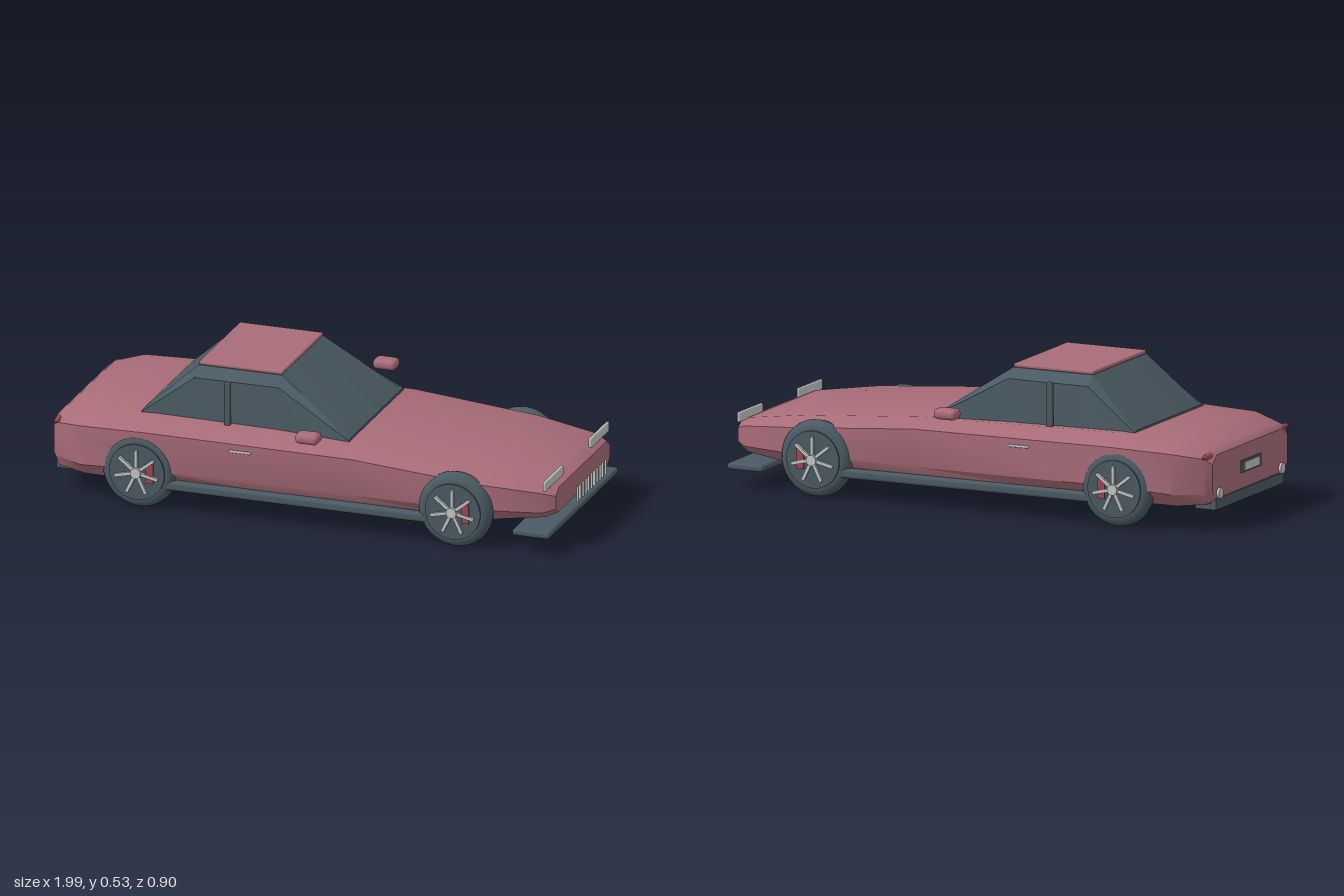
import * as THREE from 'three';
import { toCreasedNormals } from 'three/addons/utils/BufferGeometryUtils.js';
import { RoundedBoxGeometry } from 'three/addons/geometries/RoundedBoxGeometry.js';

const mat = (name, color) => {
  const m = new THREE.MeshStandardMaterial({ color });
  m.name = name;
  return m;
};

// Skin a closed solid over half cross-sections [z, y] (bottom to top) placed along x
function loft(sections, crease) {
  const rings = sections.map(({ x, half }) => {
    const left = half.map(([z, y]) => [x, y, z]);
    const right = half.map(([z, y]) => [x, y, -z]);
    return [left[0], ...right, ...left.slice(1).reverse()];
  });
  const pos = [];
  const tri = (a, b, c) => pos.push(...a, ...b, ...c);
  const n = rings[0].length;
  for (let s = 0; s < rings.length - 1; s++) {
    const a = rings[s], b = rings[s + 1];
    for (let i = 0; i < n; i++) {
      const j = (i + 1) % n;
      tri(a[i], a[j], b[j]);
      tri(a[i], b[j], b[i]);
    }
  }
  const first = rings[0], last = rings[rings.length - 1];
  for (let i = 1; i < n - 1; i++) {
    tri(first[0], first[i + 1], first[i]);
    tri(last[0], last[i], last[i + 1]);
  }
  const g = new THREE.BufferGeometry();
  g.setAttribute('position', new THREE.Float32BufferAttribute(pos, 3));
  return toCreasedNormals(g, crease);
}

export function createModel() {
  const car = new THREE.Group();
  car.name = 'car';
  const paint = mat('rose paint', 0xa86c78);
  const dark = mat('dark slate', 0x4a5a63);
  const silver = mat('silver', 0xc2c6c6);
  const red = mat('lamp red', 0x9c4650);

  const add = (name, geo, material, x = 0, y = 0, z = 0, parent = car) => {
    const m = new THREE.Mesh(geo, material);
    m.name = name;
    m.position.set(x, y, z);
    parent.add(m);
    return m;
  };
  const rounded = (w, h, d, r) => new RoundedBoxGeometry(w, h, d, 3, r);

  // Body: x, bottom y, lower side y, upper side y, top y, bottom / side / top half widths
  const body = [
    [-0.98, 0.12, 0.15, 0.25, 0.28, 0.28, 0.31, 0.27],
    [-0.96, 0.10, 0.14, 0.27, 0.295, 0.31, 0.33, 0.29],
    [-0.85, 0.09, 0.14, 0.29, 0.325, 0.34, 0.388, 0.31],
    [-0.60, 0.09, 0.15, 0.295, 0.335, 0.345, 0.39, 0.31],
    [0.20, 0.09, 0.15, 0.29, 0.322, 0.345, 0.385, 0.31],
    [0.68, 0.10, 0.15, 0.25, 0.284, 0.335, 0.373, 0.30],
    [0.92, 0.125, 0.15, 0.225, 0.25, 0.29, 0.32, 0.28],
    [0.96, 0.14, 0.16, 0.21, 0.235, 0.265, 0.29, 0.255],
  ].map(([x, yb, yl, yu, yt, wb, ws, wt]) => ({
    x, half: [[wb, yb], [ws, yl], [ws, yu], [wt, yt]],
  }));
  add('body', loft(body, 0.6), paint);

  // Cabin glass: base, shoulder and roof edge of each section
  const cabin = [
    { x: -0.65, half: [[0.285, 0.30], [0.283, 0.335], [0.26, 0.34]] },
    { x: -0.45, half: [[0.28, 0.31], [0.265, 0.485], [0.22, 0.52]] },
    { x: -0.125, half: [[0.275, 0.31], [0.262, 0.485], [0.22, 0.52]] },
    { x: 0.16, half: [[0.297, 0.30], [0.295, 0.326], [0.27, 0.332]] },
  ];
  add('cabinGlass', loft(cabin, 0.4), dark);
  add('roofPanel', rounded(0.325, 0.015, 0.44, 0.006), paint, -0.288, 0.527, 0);

  // Skirts
  add('frontSplitter', rounded(0.145, 0.026, 0.75, 0.011), dark, 0.892, 0.082, 0);
  add('rearDiffuser', new THREE.BoxGeometry(0.085, 0.04, 0.56), dark, -0.937, 0.095, 0);

  // Nose grille
  for (let i = -5; i <= 5; i++) {
    add('grilleBar', new THREE.BoxGeometry(0.008, 0.06, 0.005), silver, 0.994, 0.175, i * 0.03);
  }

  // Rear number plate, blank
  add('plateFrame', new THREE.BoxGeometry(0.008, 0.045, 0.16), dark, -0.983, 0.2, 0);
  add('plate', new THREE.BoxGeometry(0.004, 0.03, 0.12), silver, -0.987, 0.2, 0);

  // Parts mirrored on both flanks
  for (const s of [1, -1]) {
    add('sideSill', rounded(1.1, 0.036, 0.04, 0.012), dark, -0.015, 0.1, s * 0.375);
    add('pillar', rounded(0.025, 0.17, 0.016, 0.005), dark, -0.312, 0.41, s * 0.295);
    add('mirror', rounded(0.09, 0.04, 0.064, 0.018), paint, 0.046, 0.367, s * 0.417);
    add('doorHandle', rounded(0.085, 0.009, 0.012, 0.004), silver, -0.23, 0.265, s * 0.387);
    add('headlight', rounded(0.012, 0.038, 0.194, 0.005), silver, 0.933, 0.26, s * 0.245);
    const lamp = add('tailLight', new THREE.SphereGeometry(1, 20, 12), red, -0.96, 0.278, s * 0.3);
    lamp.scale.set(0.012, 0.011, 0.052);
    const pipe = add('exhaust', new THREE.CylinderGeometry(0.02, 0.02, 0.022, 20), silver, -0.978, 0.135, s * 0.255);
    pipe.rotation.z = Math.PI / 2;
  }

  // Wheel, outer face towards +z
  const makeWheel = () => {
    const wheel = new THREE.Group();
    wheel.name = 'wheel';
    add('tyre', new THREE.TorusGeometry(0.107, 0.036, 16, 48), dark, 0, 0, 0, wheel);
    const rim = add('rimDisc', new THREE.CylinderGeometry(0.107, 0.107, 0.084, 40), dark, 0, 0, 0, wheel);
    rim.rotation.x = Math.PI / 2;
    add('brakeCaliper', new THREE.BoxGeometry(0.03, 0.075, 0.008), red, 0.05, 0, 0.043, wheel);
    for (let i = 0; i < 7; i++) {
      const a = Math.PI / 2 + (i * Math.PI * 2) / 7;
      const spoke = add('spoke', new THREE.BoxGeometry(0.074, 0.012, 0.012), silver,
        0.049 * Math.cos(a), 0.049 * Math.sin(a), 0.046, wheel);
      spoke.rotation.z = a;
    }
    const hub = add('hub', new THREE.CylinderGeometry(0.02, 0.02, 0.018, 20), silver, 0, 0, 0.05, wheel);
    hub.rotation.x = Math.PI / 2;
    return wheel;
  };
  for (const x of [0.6, -0.625]) {
    for (const s of [1, -1]) {
      const wheel = makeWheel();
      wheel.position.set(x, 0.143, s * 0.361);
      if (s < 0) {
        // turn the outer face outward, keeping the caliper on the same side of the axle
        wheel.rotation.y = Math.PI;
        wheel.getObjectByName('brakeCaliper').position.x *= -1;
      }
      car.add(wheel);
    }
  }
  return car;
}
